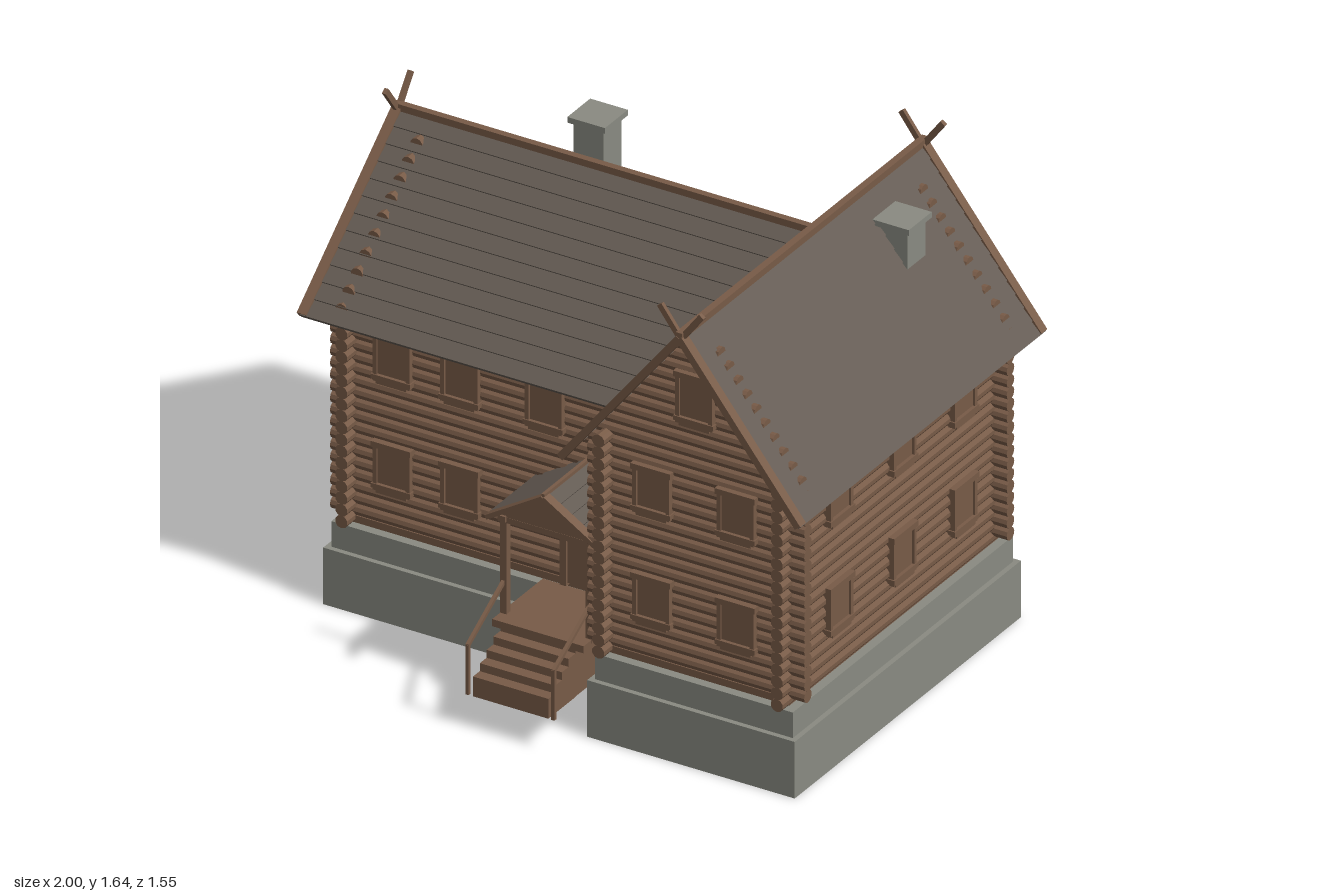
import * as THREE from 'three';

const mat = (name, color, extra = {}) => {
  const m = new THREE.MeshStandardMaterial({ color, flatShading: true, ...extra });
  m.name = name;
  return m;
};

export function createModel() {
  const wood = mat('wood', 0x785b47);
  const shingle = mat('shingle', 0x635a52);
  const stone = mat('stone', 0x8a8b82);
  const model = new THREE.Group();
  model.name = 'logHouse';

  const group = (name, parent = model) => {
    const g = new THREE.Group();
    g.name = name;
    parent.add(g);
    return g;
  };
  const box = (parent, name, m, w, h, d, x, y, z) => {
    const b = new THREE.Mesh(new THREE.BoxGeometry(w, h, d), m);
    b.name = name;
    b.position.set(x, y, z);
    parent.add(b);
    return b;
  };

  // L-shaped slabs: foundation in two steps, with a timber base on top
  const slab = (name, m, inset, y, h) => {
    const i = inset;
    const pts = [[-0.93 + i, 0.71 - i], [-0.93 + i, -0.34 + i], [0.2 + i, -0.34 + i],
      [0.2 + i, -0.63 + i], [0.95 - i, -0.63 + i], [0.95 - i, 0.71 - i]];
    const shape = new THREE.Shape(pts.map(p => new THREE.Vector2(...p)));
    const g = new THREE.ExtrudeGeometry(shape, { depth: h, bevelEnabled: false });
    g.rotateX(-Math.PI / 2);
    const s = new THREE.Mesh(g, m);
    s.name = name;
    s.position.y = y;
    model.add(s);
  };
  slab('foundation', stone, 0, 0, 0.2);
  slab('plinth', stone, 0.018, 0.2, 0.09);
  slab('baseBeam', wood, 0.05, 0.285, 0.03);

  // Log walls: round logs stacked in courses, alternating at the corners
  const pitch = 0.0415, radius = 0.0225;
  const mainHalf = y => 0.565 * (1.49 - y) / 0.465;
  const wingHalf = y => 0.43 * (1.54 - y) / 0.545;
  const wall = (name, axis, fixed, a, b, gable) => {
    const g = group(name);
    const y0 = axis === 'x' ? 0.33 : 0.31;
    for (let y = y0; y < (gable ? gable.top : 1.09); y += pitch) {
      let lo = a, hi = b;
      if (gable && y > 1.03) {
        const h = gable.half(y) + 0.008;
        lo = Math.max(a, gable.center - h);
        hi = Math.min(b, gable.center + h);
      }
      const geo = new THREE.CylinderGeometry(radius, radius, hi - lo, 10);
      const log = new THREE.Mesh(geo, wood);
      log.name = 'log';
      if (axis === 'x') {
        log.rotation.z = Math.PI / 2;
        log.position.set((lo + hi) / 2, y, fixed);
      } else {
        log.rotation.x = Math.PI / 2;
        log.position.set(fixed, y, (lo + hi) / 2);
      }
      g.add(log);
    }
  };
  const wingGable = { center: 0.565, half: wingHalf, top: 1.49 };
  const mainGable = { center: -0.185, half: mainHalf, top: 1.45 };
  wall('mainFrontWall', 'x', 0.27, -0.935, 0.24);
  wall('mainBackWall', 'x', -0.64, -0.935, 0.17);
  wall('mainEndWall', 'z', -0.865, -0.71, 0.34, mainGable);
  wall('wingFrontWall', 'x', 0.56, 0.17, 0.955, wingGable);
  wall('wingBackWall', 'x', -0.64, 0.17, 0.955, wingGable);
  wall('wingInnerWall', 'z', 0.24, -0.71, 0.63);
  wall('wingOuterWall', 'z', 0.885, -0.71, 0.63);

  // Gable roof with its ridge along local x: overlapping plank rows and end boards
  const roof = (name, o) => {
    const g = group(name);
    const rise = o.top - o.eave, slope = Math.hypot(o.half, rise), angle = Math.atan2(rise, o.half);
    const mid = (o.from + o.to) / 2, len = o.to - o.from;
    for (const s of [1, -1]) {
      for (let i = 0; i < o.rows; i++) {
        const t = (i + 0.5) / o.rows;
        const p = box(g, 'plankRow', shingle, len, o.thick, slope / o.rows * 1.12,
          mid, o.eave + rise * t, s * o.half * (1 - t));
        p.rotation.x = s * (angle - 0.1);
      }
      for (const x of o.boards) {
        const b = box(g, 'gableBoard', wood, 0.034, o.thick * 1.9, slope, x, (o.eave + o.top) / 2, s * o.half / 2);
        b.rotation.x = s * angle;
        if (!o.finial) continue;
        const f = box(g, 'finial', wood, 0.014, 0.02, 0.16, x, o.top + 0.03, -s * 0.028);
        f.rotation.x = s * 0.93;
      }
    }
    box(g, 'ridgeCap', wood, len + 0.01, o.cap, o.cap, mid, o.top + 0.008, 0);
    return g;
  };
  roof('mainRoof', { half: 0.565, eave: 1.025, top: 1.49, from: -0.985, to: 0.545, rows: 12,
    thick: 0.013, cap: 0.024, boards: [-0.98], finial: true }).position.z = -0.185;
  const wingRoof = roof('wingRoof', { half: 0.43, eave: 0.995, top: 1.54, from: -0.68, to: 0.77, rows: 14,
    thick: 0.013, cap: 0.024, boards: [-0.67, 0.76], finial: true });
  wingRoof.rotation.y = Math.PI / 2;
  wingRoof.position.x = 0.565;

  // Chimneys
  const chimney = (name, x, z, top) => {
    const g = group(name);
    box(g, 'shaft', stone, 0.108, 0.35, 0.108, x, top - 0.195, z);
    box(g, 'cap', stone, 0.136, 0.02, 0.136, x, top - 0.01, z);
  };
  chimney('mainChimney', -0.375, -0.375, 1.555);
  chimney('wingChimney', 0.688, -0.432, 1.477);

  // Windows: pane, side trims, wide head and sill
  const windowAt = (x, y, z, turn = 0, h = 0.17) => {
    const g = group('window');
    g.position.set(x, y, z);
    g.rotation.y = turn;
    box(g, 'pane', wood, 0.11, h - 0.03, 0.04, 0, 0, 0.01);
    for (const s of [-1, 1]) box(g, 'sideTrim', wood, 0.014, h, 0.04, s * 0.06, 0, 0.018);
    box(g, 'head', wood, 0.144, 0.02, 0.044, 0, h / 2 - 0.008, 0.02);
    box(g, 'sill', wood, 0.144, 0.016, 0.044, 0, -h / 2 + 0.016, 0.02);
    box(g, 'apron', wood, 0.11, 0.016, 0.04, 0, -h / 2, 0.018);
  };
  const low = 0.522, high = 0.908, back = Math.PI;
  for (const y of [low, high]) {
    for (const x of [-0.705, -0.46]) windowAt(x, y, 0.27);
    for (const x of [0.41, 0.715]) windowAt(x, y, 0.56);
    for (const z of [0.305, -0.07, -0.43]) windowAt(0.885, y, z, Math.PI / 2);
    for (const x of [-0.66, -0.28, 0.02]) windowAt(x, y, -0.64, back);
    for (const z of [-0.36, 0]) windowAt(-0.865, y, z, -Math.PI / 2);
  }
  windowAt(-0.155, high, 0.27);
  for (const x of [0.41, 0.715]) windowAt(x, low, -0.64, back);
  windowAt(0.565, 1.275, 0.56, 0, 0.18);
  windowAt(0.565, 1.275, -0.64, back, 0.18);

  // Door
  const door = group('door');
  const cx = 0.01;
  box(door, 'doorLeaf', wood, 0.16, 0.3, 0.04, cx, 0.46, 0.285);
  for (const s of [-1, 1]) box(door, 'jamb', wood, 0.022, 0.33, 0.05, cx + s * 0.09, 0.465, 0.29);
  box(door, 'lintel', wood, 0.22, 0.022, 0.05, cx, 0.625, 0.29);

  // Porch: floor, steps, posts, rails and a small gabled roof
  const porch = group('porch');
  box(porch, 'floor', wood, 0.33, 0.025, 0.3, cx, 0.29, 0.46);
  box(porch, 'floorBase', wood, 0.27, 0.165, 0.28, cx, 0.198, 0.47);
  for (let i = 0; i < 4; i++) {
    const h = 0.07 + i * 0.028;
    box(porch, 'step', wood, 0.272, h, 0.042, cx, 0.115 + h / 2, 0.75 - i * 0.04);
  }
  for (const s of [-1, 1]) {
    const x = cx + s * 0.155;
    box(porch, 'post', wood, 0.024, 0.35, 0.024, x, 0.465, 0.55);
    box(porch, 'railPost', wood, 0.012, 0.175, 0.012, x, 0.205, 0.77);
    const rail = box(porch, 'rail', wood, 0.012, 0.012, 0.25, x, 0.353, 0.664);
    rail.rotation.x = 0.53;
    box(porch, 'sideBeam', wood, 0.024, 0.02, 0.28, x, 0.64, 0.43);
  }
  box(porch, 'frontBeam', wood, 0.35, 0.02, 0.024, cx, 0.635, 0.55);
  const tri = new THREE.Shape([[-0.18, 0.64], [0.18, 0.64], [0, 0.755]].map(p => new THREE.Vector2(...p)));
  const gable = new THREE.Mesh(new THREE.ExtrudeGeometry(tri, { depth: 0.016, bevelEnabled: false }), wood);
  gable.name = 'porchGable';
  gable.position.set(cx, 0, 0.545);
  porch.add(gable);
  const porchRoof = roof('porchRoof', { half: 0.205, eave: 0.638, top: 0.764, from: -0.575, to: -0.28, rows: 5,
    thick: 0.008, cap: 0.012, boards: [-0.568] });
  porchRoof.rotation.y = Math.PI / 2;
  porchRoof.position.x = cx;

  return model;
}
